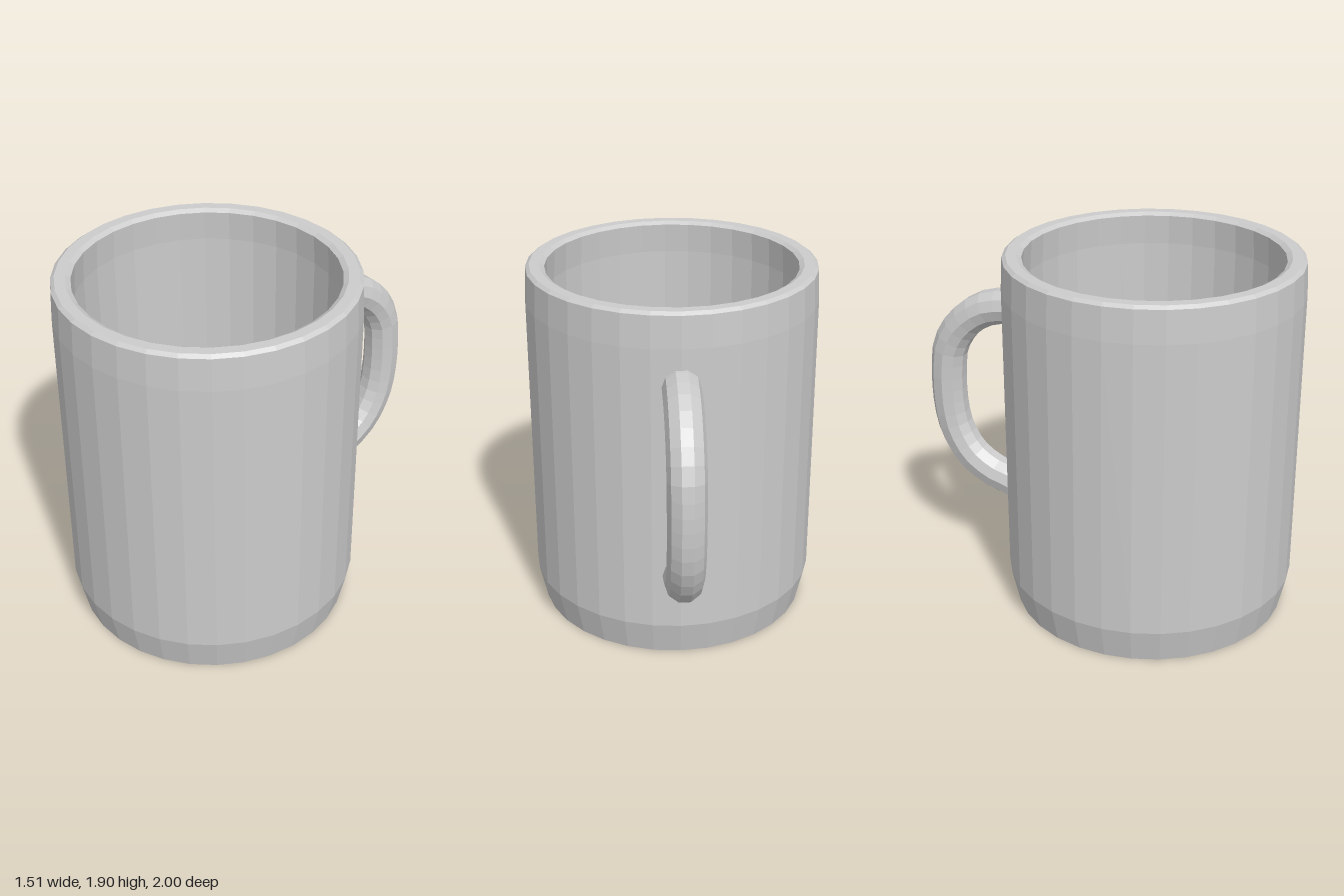
import * as THREE from 'three';

export function createModel() {
  const model = new THREE.Group();
  model.name = 'mug';
  const material = new THREE.MeshStandardMaterial({ color: 0xcccccc, flatShading: true });

  // Cup: one closed profile of [radius, height], from the recessed base up and over the rim to the inner floor
  const profile = [
    [0, 0.025], [0.695, 0.025], [0.7, 0], [0.715, 0],
    [0.755, 0.18], [0.755, 1.72], [0.747, 1.885],
    [0.728, 1.9], [0.675, 1.9], [0.65, 1.885],
    [0.66, 1.73], [0.66, 0.18], [0.635, 0.12], [0, 0.12],
  ].map(([r, y]) => new THREE.Vector2(r, y));
  const cup = new THREE.Mesh(new THREE.LatheGeometry(profile, 32), material);
  cup.name = 'cup';
  cup.position.z = 0.245;
  model.add(cup);

  // Handle: tube along a D-shaped path of [z, y], with ends sunk into the cup wall
  const path = new THREE.CatmullRomCurve3([
    [-0.45, 1.525], [-0.54, 1.52], [-0.68, 1.485], [-0.81, 1.385], [-0.885, 1.26],
    [-0.905, 1.14], [-0.905, 0.92], [-0.875, 0.77], [-0.79, 0.625],
    [-0.66, 0.535], [-0.55, 0.5], [-0.45, 0.455],
  ].map(([z, y]) => new THREE.Vector3(0, y, z)));
  const handle = new THREE.Mesh(new THREE.TubeGeometry(path, 22, 0.095, 10), material);
  handle.name = 'handle';
  model.add(handle);

  return model;
}
